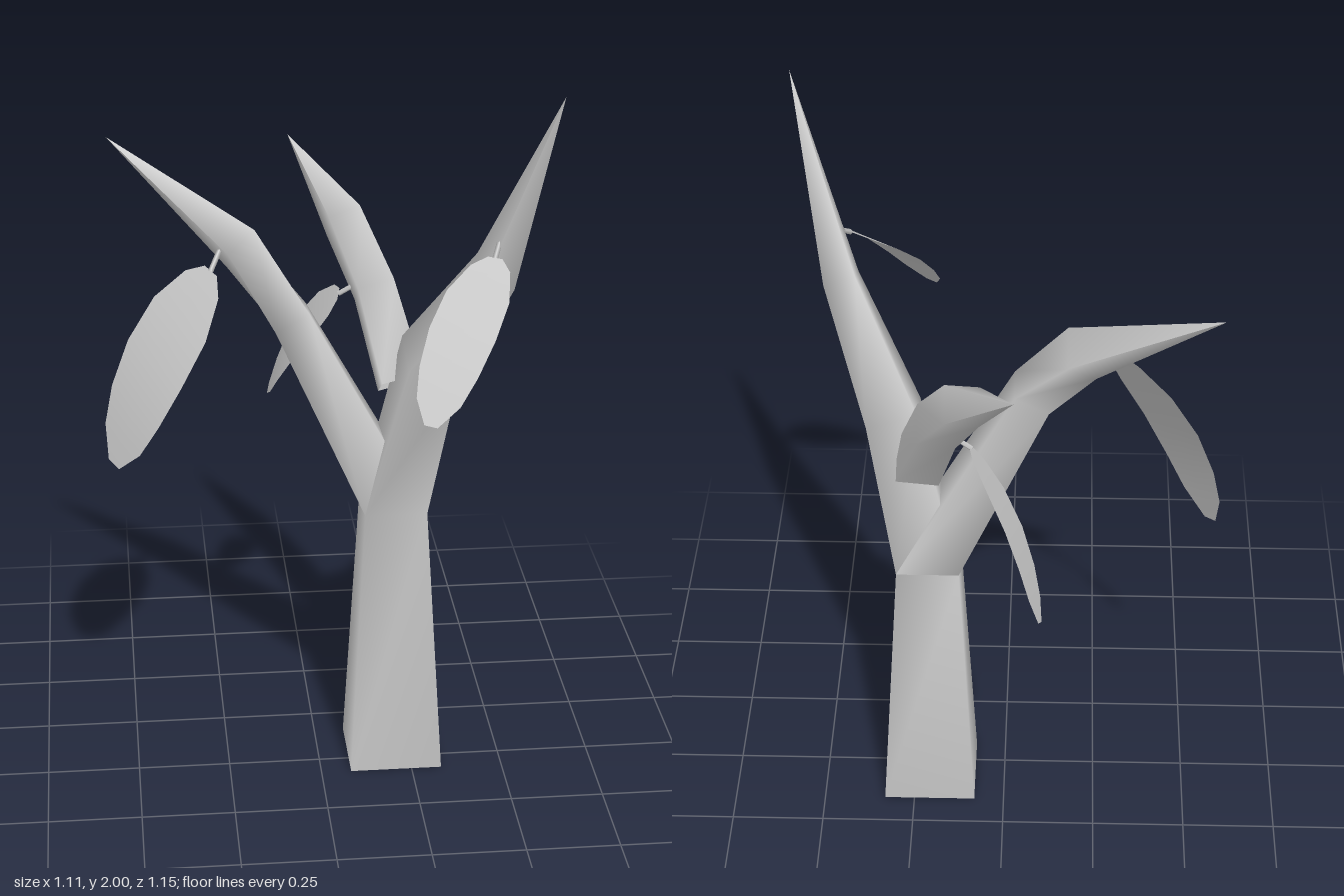
import * as THREE from 'three';

const V = (a) => new THREE.Vector3(...a);
const material = new THREE.MeshStandardMaterial({ color: 0xcccccc, side: THREE.DoubleSide });

function makeMesh(name, positions, index) {
  const geometry = new THREE.BufferGeometry();
  geometry.setAttribute('position', new THREE.Float32BufferAttribute(positions, 3));
  geometry.setIndex(index);
  geometry.computeVertexNormals();
  const mesh = new THREE.Mesh(geometry, material);
  mesh.name = name;
  return mesh;
}

// Square limb: each ring is { c: centre, u: half width, v: half depth }, the last one a point.
// Rings marked flat stay level, the others turn across the limb.
function limb(name, rings) {
  const positions = [], index = [];
  const corners = [[1, 1], [1, -1], [-1, -1], [-1, 1]];
  rings.forEach((r, i) => {
    const before = V(rings[Math.max(i - 1, 0)].c);
    const after = V(rings[Math.min(i + 1, rings.length - 1)].c);
    const t = r.flat ? new THREE.Vector3(0, 1, 0) : after.sub(before).normalize();
    const u = new THREE.Vector3(1, 0, 0).addScaledVector(t, -t.x).normalize();
    const v = u.clone().cross(t);
    for (const [a, b] of corners) {
      positions.push(...V(r.c).addScaledVector(u, a * r.u).addScaledVector(v, b * r.v).toArray());
    }
    if (i === 0) return;
    for (let k = 0; k < 4; k++) {
      const n = (k + 1) % 4, a = (i - 1) * 4 + k, b = (i - 1) * 4 + n;
      index.push(a, b, b + 4);
      if (r.u > 0) index.push(a, b + 4, a + 4);
      else index.splice(-1, 1, a + 4);
    }
  });
  return makeMesh(name, positions, index);
}

// Drooping leaf: a bowed blade from base to tip, with side as its half width vector.
function leaf(name, stem, base, tip, side, bow) {
  const group = new THREE.Group();
  group.name = name;
  const b = V(base), t = V(tip), w = V(side);
  const up = t.clone().sub(b).cross(w).normalize();
  if (up.y < 0) up.negate();
  const outline = [[0, 0.22], [0.07, 0.6], [0.25, 0.95], [0.48, 1], [0.7, 0.88], [0.87, 0.66], [1, 0.2]];
  const positions = [], index = [];
  outline.forEach(([s, width], i) => {
    const mid = b.clone().lerp(t, s).addScaledVector(up, bow * Math.sin(Math.PI * s));
    for (const k of [-1, 0, 1]) {
      positions.push(...mid.clone().addScaledVector(w, k * width).toArray());
    }
    if (i === 0) return;
    for (const k of [0, 1]) {
      const a = (i - 1) * 3 + k;
      index.push(a, a + 1, a + 4, a, a + 4, a + 3);
    }
  });
  group.add(makeMesh('blade', positions, index));

  // short stalk joining the blade to its branch
  const stalk = new THREE.Mesh(
    new THREE.TubeGeometry(new THREE.LineCurve3(V(stem), b), 1, 0.007, 4), material);
  stalk.name = 'stalk';
  group.add(stalk);
  return group;
}

export function createModel() {
  const model = new THREE.Group();
  model.name = 'tree';

  // trunk running on into the tallest branch
  const foot = { c: [0.207, 0, -0.045], u: 0.125, v: 0.115, flat: true };
  const fork = { c: [0.202, 0.765, -0.04], u: 0.083, v: 0.075, flat: true };
  model.add(limb('trunkAndTallBranch', [
    foot, fork,
    { c: [0.288, 1.2, 0.01], u: 0.068, v: 0.076 },
    { c: [0.425, 1.5, 0.18], u: 0.042, v: 0.056 },
    { c: [0.55, 2, 0.36], u: 0, v: 0 },
  ]));

  // underside of the trunk
  const base = new THREE.Mesh(new THREE.PlaneGeometry(foot.u * 2, foot.v * 2), material);
  base.rotation.x = Math.PI / 2;
  base.position.set(...foot.c);
  base.name = 'trunkBase';
  model.add(base);

  // side branch sharing the fork ring
  model.add(limb('sideBranch', [
    fork,
    { c: [-0.07, 1.305, -0.043], u: 0.05, v: 0.055 },
    { c: [-0.195, 1.475, -0.115], u: 0.048, v: 0.055 },
    { c: [-0.53, 1.715, -0.335], u: 0, v: 0 },
  ]));

  // rear branch set into the fork
  model.add(limb('rearBranch', [
    { c: [0.222, 1.1, -0.075], u: 0.056, v: 0.055 },
    { c: [0.165, 1.315, -0.21], u: 0.05, v: 0.053 },
    { c: [0.095, 1.465, -0.335], u: 0.046, v: 0.048 },
    { c: [-0.035, 1.635, -0.57], u: 0, v: 0 },
  ]));

  // one leaf on each branch
  model.add(leaf('tallBranchLeaf', [0.42, 1.6, 0.25], [0.405, 1.575, 0.285],
    [0.215, 1.255, 0.565], [0.073, 0, 0.052], 0.02));
  model.add(leaf('sideBranchLeaf', [-0.25, 1.48, -0.09], [-0.275, 1.44, -0.05],
    [-0.54, 0.91, -0.04], [0.065, -0.033, 0.092], 0.035));
  model.add(leaf('rearBranchLeaf', [0.13, 1.32, -0.25], [0.075, 1.285, -0.26],
    [-0.1, 0.92, -0.49], [0.02, 0.046, -0.072], 0.025));

  return model;
}
